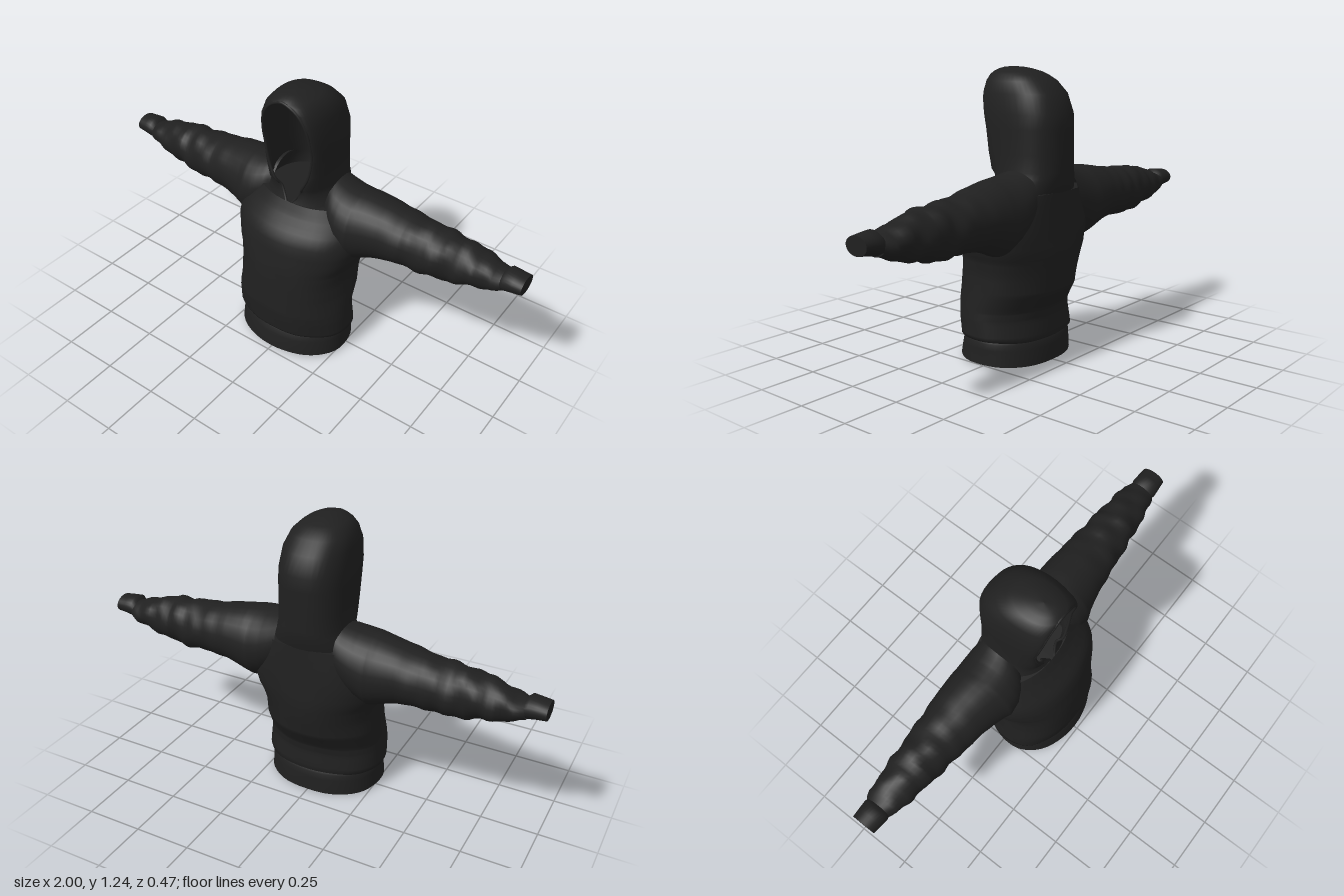
import * as THREE from 'three';

// Linear lookup in a table of rows keyed by their first number
function sample(rows, k) {
  let i = 0;
  while (i < rows.length - 2 && k > rows[i + 1][0]) i++;
  const a = rows[i], b = rows[i + 1];
  const t = THREE.MathUtils.clamp((k - a[0]) / (b[0] - a[0]), 0, 1);
  return a.map((v, n) => v + (b[n] - v) * t);
}

// Evenly spaced stations along a table, keeping the table's own rows
function stations(rows, count) {
  const lo = rows[0][0], hi = rows[rows.length - 1][0];
  const keys = rows.map((r) => r[0]);
  for (let i = 1; i < count; i++) {
    const k = lo + ((hi - lo) * i) / count;
    if (keys.every((q) => Math.abs(q - k) > 0.006)) keys.push(k);
  }
  return keys.sort((a, b) => a - b).map((k) => sample(rows, k));
}

// Skin over rings of points
function loft(rings, closed = true) {
  const n = rings[0].length, idx = [];
  for (let i = 0; i < rings.length - 1; i++) {
    for (let j = 0; j < (closed ? n : n - 1); j++) {
      const a = i * n + j, b = i * n + ((j + 1) % n), c = a + n, d = b + n;
      idx.push(a, c, b, b, c, d);
    }
  }
  const g = new THREE.BufferGeometry();
  g.setAttribute('position', new THREE.Float32BufferAttribute(rings.flat(2), 3));
  g.setIndex(idx);
  g.computeVertexNormals();
  return g;
}

// Ring collapsed to its middle, for closing an end
function middle(ring) {
  const c = [0, 1, 2].map((k) => ring.reduce((s, p) => s + p[k], 0) / ring.length);
  return ring.map(() => c);
}

const spow = (v, p) => Math.sign(v) * Math.abs(v) ** p;

// Horizontal torso ring from [y, halfWidth, backZ, frontZ]; the upper back is flatter
function torsoRing([y, w, zb, zf], folds) {
  const ring = [], n = 48;
  const back = 0.92 - 0.3 * THREE.MathUtils.smoothstep(y, 0.35, 0.6);
  for (let j = 0; j < n; j++) {
    const a = (j / n) * Math.PI * 2, s = Math.sin(a);
    const f = 1 + folds * (Math.sin(5 * a + 9 * y) * 0.6 + Math.sin(9 * a - 21 * y) * 0.4);
    const x = w * f * spow(Math.cos(a), 0.92);
    const z = (zb + zf) / 2 + ((zf - zb) / 2) * f * spow(s, s < 0 ? back : 0.92);
    ring.push([x, y + 0.04 * z * (y < 0.13 ? 1 : 0), z]);
  }
  return ring;
}

// Upright sleeve ring from [x, lowY, highY, backZ, frontZ]
function sleeveRing([x, lo, hi, zb, zf], side) {
  const ring = [], n = 28;
  const k = 0.07 * THREE.MathUtils.smoothstep(x, 0.3, 0.75) * (x < 0.915 ? 1 : 0);
  for (let j = 0; j < n; j++) {
    const a = (side * j * Math.PI * 2) / n;
    const f = 1 + k * (Math.sin(72 * x + 2 * a) * 0.5 + Math.sin(41 * x - 3 * a + side) * 0.6);
    ring.push([
      side * x,
      (lo + hi) / 2 + ((hi - lo) / 2) * f * Math.sin(a),
      (zb + zf) / 2 + ((zf - zb) / 2) * f * Math.cos(a),
    ]);
  }
  return ring;
}

// Hood arc, open at the face, from [y, halfWidth, backZ, frontZ, openingHalfWidth]
function hoodRing([y, w, zb, zf, o]) {
  const half = [], q = 10, zc = (zb + zf) / 2;
  for (let j = 0; j <= q; j++) {
    const u = (1 - j / q) * Math.PI / 2;
    half.push([o + (w - o) * spow(Math.cos(u), 0.85), y, zc + (zf - zc) * Math.sin(u)]);
  }
  for (let j = 1; j <= q; j++) {
    const u = (j / q) * Math.PI / 2;
    half.push([j === q ? 0 : w * spow(Math.cos(u), 0.85), y, zc + (zb - zc) * spow(Math.sin(u), 0.85)]);
  }
  const left = half.slice(0, -1).reverse();
  return [...half.map(([x, yy, z]) => [-x, yy, z]), ...left];
}

export function createModel() {
  const group = new THREE.Group();
  const cloth = new THREE.MeshStandardMaterial({ color: 0x202020, side: THREE.DoubleSide });
  cloth.name = 'charcoal cloth';
  const add = (name, geometry) => {
    const m = new THREE.Mesh(geometry, cloth);
    m.name = name;
    group.add(m);
  };

  // Torso, hollow at the lower back, widening into the shoulders
  const torso = stations([
    [0.112, 0.25, -0.162, 0.205], [0.12, 0.274, -0.172, 0.222], [0.2, 0.27, -0.162, 0.232],
    [0.24, 0.266, -0.168, 0.236], [0.32, 0.262, -0.215, 0.234], [0.4, 0.259, -0.228, 0.23],
    [0.46, 0.268, -0.234, 0.223], [0.5, 0.285, -0.235, 0.215], [0.57, 0.298, -0.231, 0.2],
    [0.62, 0.295, -0.228, 0.18], [0.66, 0.285, -0.225, 0.145], [0.7, 0.265, -0.222, 0.113],
    [0.74, 0.235, -0.219, 0.088],
  ], 26).map((r) => torsoRing(r, 0.012));
  add('torso', loft(torso));
  const top = torso[torso.length - 1];
  add('neckFloor', loft([top, middle(top)]));

  // Ribbed hem band
  const hem = [
    [0.012, 0.262, -0.178, 0.234], [0.04, 0.26, -0.176, 0.23], [0.08, 0.257, -0.172, 0.222],
    [0.105, 0.256, -0.168, 0.214], [0.118, 0.248, -0.16, 0.205],
  ].map((r) => torsoRing(r, 0.008));
  add('hemBand', loft(hem));
  add('hemUnderside', loft([middle(hem[0]), hem[0]]));

  // Sleeves with gathered folds, rooted inside the shoulders, and cuffs
  const sleeve = stations([
    [0.135, 0.58, 0.836, -0.205, 0.03], [0.17, 0.55, 0.826, -0.212, 0.06], [0.22, 0.515, 0.816, -0.217, 0.078],
    [0.27, 0.492, 0.812, -0.219, 0.08], [0.3, 0.503, 0.81, -0.219, 0.068], [0.35, 0.524, 0.803, -0.216, 0.055],
    [0.4, 0.54, 0.795, -0.212, 0.045], [0.5, 0.552, 0.775, -0.205, 0.03], [0.6, 0.545, 0.767, -0.197, 0.016],
    [0.7, 0.558, 0.76, -0.188, 0.003], [0.8, 0.58, 0.738, -0.18, -0.012], [0.88, 0.605, 0.71, -0.17, -0.026],
    [0.92, 0.62, 0.7, -0.152, -0.042],
  ], 44);
  const cuff = [
    [0.905, 0.63, 0.7, -0.148, -0.045], [0.925, 0.625, 0.72, -0.154, -0.035],
    [0.96, 0.632, 0.716, -0.152, -0.038], [1, 0.637, 0.711, -0.15, -0.042],
  ];
  for (const side of [1, -1]) {
    const name = side > 0 ? 'left' : 'right';
    add(name + 'Sleeve', loft(sleeve.map((r) => sleeveRing(r, side))));
    const rings = cuff.map((r) => sleeveRing(r, side));
    add(name + 'Cuff', loft(rings));
    add(name + 'CuffEnd', loft([rings[3], middle(rings[3])]));
  }

  // Hood shell, flaring into the shoulders and closing over the crown
  const hoodRows = [
    [0.725, 0.185, -0.215, 0.093, 0], [0.76, 0.172, -0.226, 0.076, 0.03], [0.8, 0.157, -0.234, 0.07, 0.052],
    [0.825, 0.151, -0.235, 0.088, 0.066], [0.9, 0.147, -0.235, 0.087, 0.1], [1, 0.147, -0.235, 0.088, 0.117],
    [1.06, 0.146, -0.234, 0.1, 0.116], [1.14, 0.138, -0.205, 0.114, 0.102], [1.19, 0.122, -0.155, 0.119, 0.07],
    [1.215, 0.098, -0.115, 0.122, 0.035], [1.226, 0.083, -0.09, 0.123, 0], [1.238, 0.055, -0.045, 0.1, 0],
    [1.244, 0.03, -0.01, 0.078, 0], [1.247, 0, 0.035, 0.035, 0],
  ];
  add('hood', loft(hoodRows.map(hoodRing), false));

  // Rolled edge round the face opening
  const edge = hoodRows.slice(0, 11).map(([y, , , zf, o]) => new THREE.Vector3(o, y, zf - 0.003));
  const mirrored = edge.slice(1, -1).reverse().map((p) => new THREE.Vector3(-p.x, p.y, p.z));
  const rim = new THREE.CatmullRomCurve3([...edge, ...mirrored], true);
  add('hoodRim', new THREE.TubeGeometry(rim, 64, 0.006, 8, true));

  return group;
}
